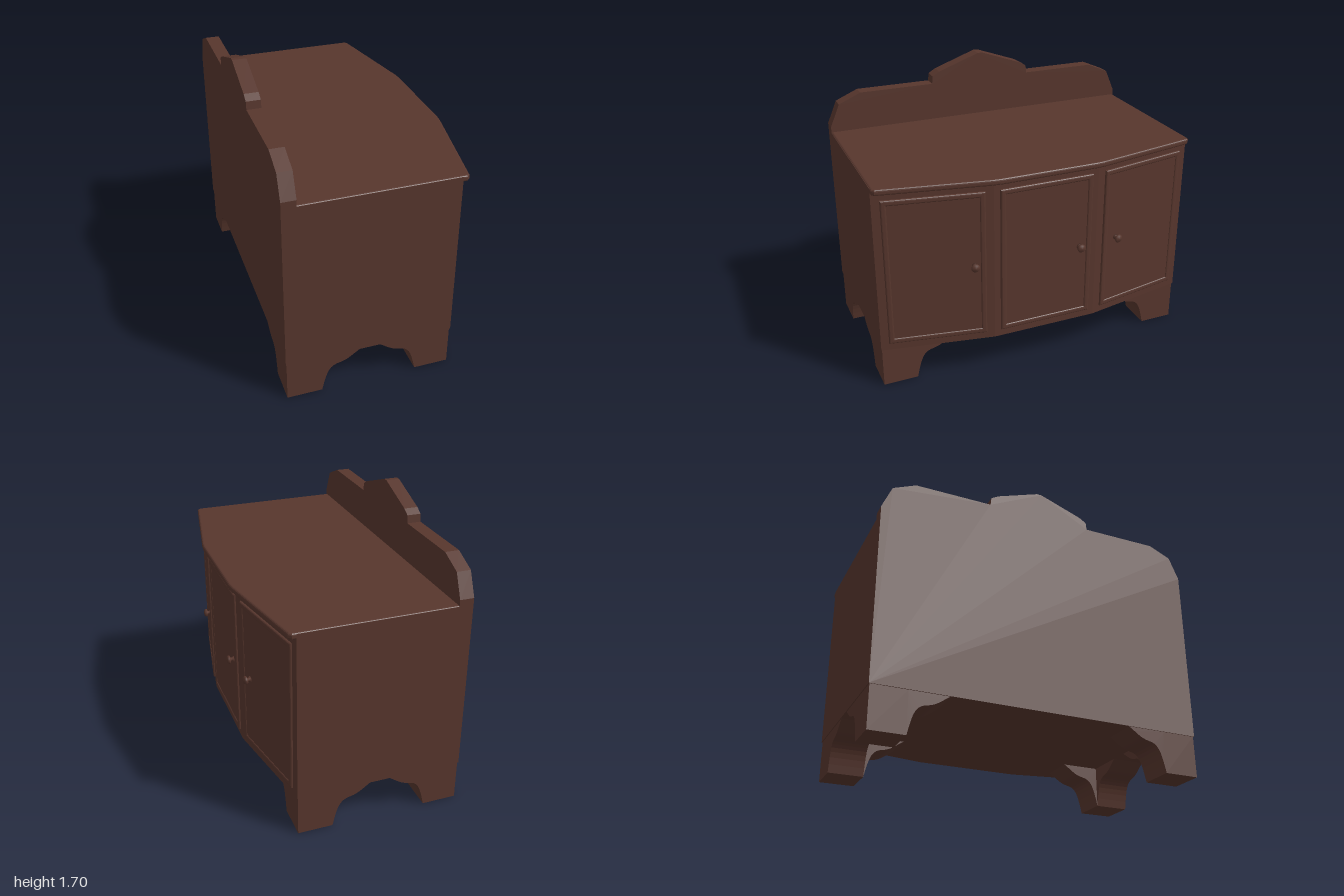
import * as THREE from 'three';

const wood = new THREE.MeshStandardMaterial({ color: 0x57362d });
wood.name = 'dark brown wood';

function add(parent, name, geometry, x = 0, y = 0, z = 0) {
  const mesh = new THREE.Mesh(geometry, wood);
  mesh.name = name;
  mesh.position.set(x, y, z);
  parent.add(mesh);
  return mesh;
}

const shapeOf = (pts) => new THREE.Shape(pts.map(([x, y]) => new THREE.Vector2(x, y)));

// Horizontal slab from a plan outline in x and z
function slab(pts, height, bevel = 0) {
  return new THREE.ExtrudeGeometry(shapeOf(pts), {
    depth: height - 2 * bevel, bevelEnabled: bevel > 0, bevelSize: bevel,
    bevelThickness: bevel, bevelOffset: -bevel, bevelSegments: 3,
  }).rotateX(-Math.PI / 2).translate(0, bevel, 0);
}

const rect = (w, h) => [[-w / 2, -h / 2], [w / 2, -h / 2], [w / 2, h / 2], [-w / 2, h / 2]];

// Moulded border around a door panel
function frameGeometry(w, h, bar) {
  const shape = shapeOf(rect(w, h));
  shape.holes.push(shapeOf(rect(w - 2 * bar, h - 2 * bar)));
  return new THREE.ExtrudeGeometry(shape, {
    depth: 0.012, bevelEnabled: true, bevelSize: 0.01, bevelThickness: 0.01,
    bevelOffset: -0.01, bevelSegments: 3,
  });
}

const knobProfile = [[0, 0], [0.018, 0], [0.012, 0.008], [0.01, 0.018], [0.024, 0.024],
  [0.026, 0.031], [0.02, 0.04], [0, 0.044]].map(([r, y]) => new THREE.Vector2(r, y));

// Door built facing +z, then turned onto its face of the bowed front
function door(name, x, z, angle, knobX) {
  const group = new THREE.Group();
  group.name = name;
  add(group, 'doorPanel', new THREE.BoxGeometry(0.55, 0.88, 0.016), 0, 0, 0);
  add(group, 'doorFrame', frameGeometry(0.585, 0.92, 0.034), 0, 0, -0.008);
  add(group, 'doorKnob', new THREE.LatheGeometry(knobProfile, 20).rotateX(Math.PI / 2), knobX, 0, 0.008);
  group.position.set(x, 0.755, z);
  group.rotation.y = angle;
  return group;
}

// Curved bracket beside a foot, spreading towards +x
function bracketGeometry() {
  const s = new THREE.Shape();
  s.moveTo(-0.01, 0);
  s.lineTo(0, 0);
  s.bezierCurveTo(0.03, 0.14, 0.045, 0.17, 0.11, 0.18);
  s.bezierCurveTo(0.16, 0.19, 0.18, 0.215, 0.235, 0.25);
  s.lineTo(-0.01, 0.25);
  return new THREE.ExtrudeGeometry(s, { depth: 0.21, bevelEnabled: false, curveSegments: 8 });
}

// Foot with its outer corner at the origin, spreading towards +x and +z
function foot() {
  const group = new THREE.Group();
  group.name = 'foot';
  add(group, 'footBlock', new THREE.BoxGeometry(0.21, 0.25, 0.21), 0.105, 0.125, 0.105);
  add(group, 'sideBracket', bracketGeometry(), 0.21, 0, 0);
  const turned = bracketGeometry().rotateY(-Math.PI / 2);
  add(group, 'endBracket', turned, 0.21, 0, 0.21);
  return group;
}

export function createModel() {
  const model = new THREE.Group();
  model.name = 'sideboard';

  // Cabinet with three-sided bowed front
  add(model, 'cabinetBody', slab([[-0.59, -1], [0.41, -1], [0.535, -0.33],
    [0.535, 0.33], [0.41, 1], [-0.59, 1]], 1.04), 0, 0.25, 0);

  // Top board overhanging the doors
  add(model, 'topBoard', slab([[-0.55, -1], [0.435, -1], [0.452, -0.985], [0.572, -0.35],
    [0.577, -0.3], [0.577, 0.3], [0.572, 0.35], [0.452, 0.985], [0.435, 1], [-0.55, 1]],
  0.037, 0.012), 0, 1.258, 0);

  // Back panel with shaped crest
  const half = [[1, 0.25], [1, 1.33], [0.94, 1.47], [0.8, 1.53], [0.33, 1.53],
    [0.325, 1.578], [0.28, 1.605], [0.015, 1.699]];
  const crest = [...half, ...half.map(([z, y]) => [-z, y]).reverse()];
  add(model, 'backPanel', new THREE.ExtrudeGeometry(shapeOf(crest),
    { depth: 0.085, bevelEnabled: false }).rotateY(Math.PI / 2), -0.6, 0, 0);

  // Doors
  model.add(door('leftDoor', 0.4725, 0.665, Math.atan2(0.67, 0.125), 0.224));
  model.add(door('middleDoor', 0.535, 0, Math.PI / 2, 0.215));
  model.add(door('rightDoor', 0.4725, -0.665, Math.atan2(0.67, -0.125), -0.193));

  // Bracket feet, each turned so that its brackets point inward
  for (const [x, z, turn] of [[-0.595, -0.995, 0], [-0.595, 0.995, 1], [0.405, 0.995, 2], [0.405, -0.995, 3]]) {
    const f = foot();
    f.position.set(x, 0, z);
    f.rotation.y = turn * Math.PI / 2;
    model.add(f);
  }
  return model;
}
